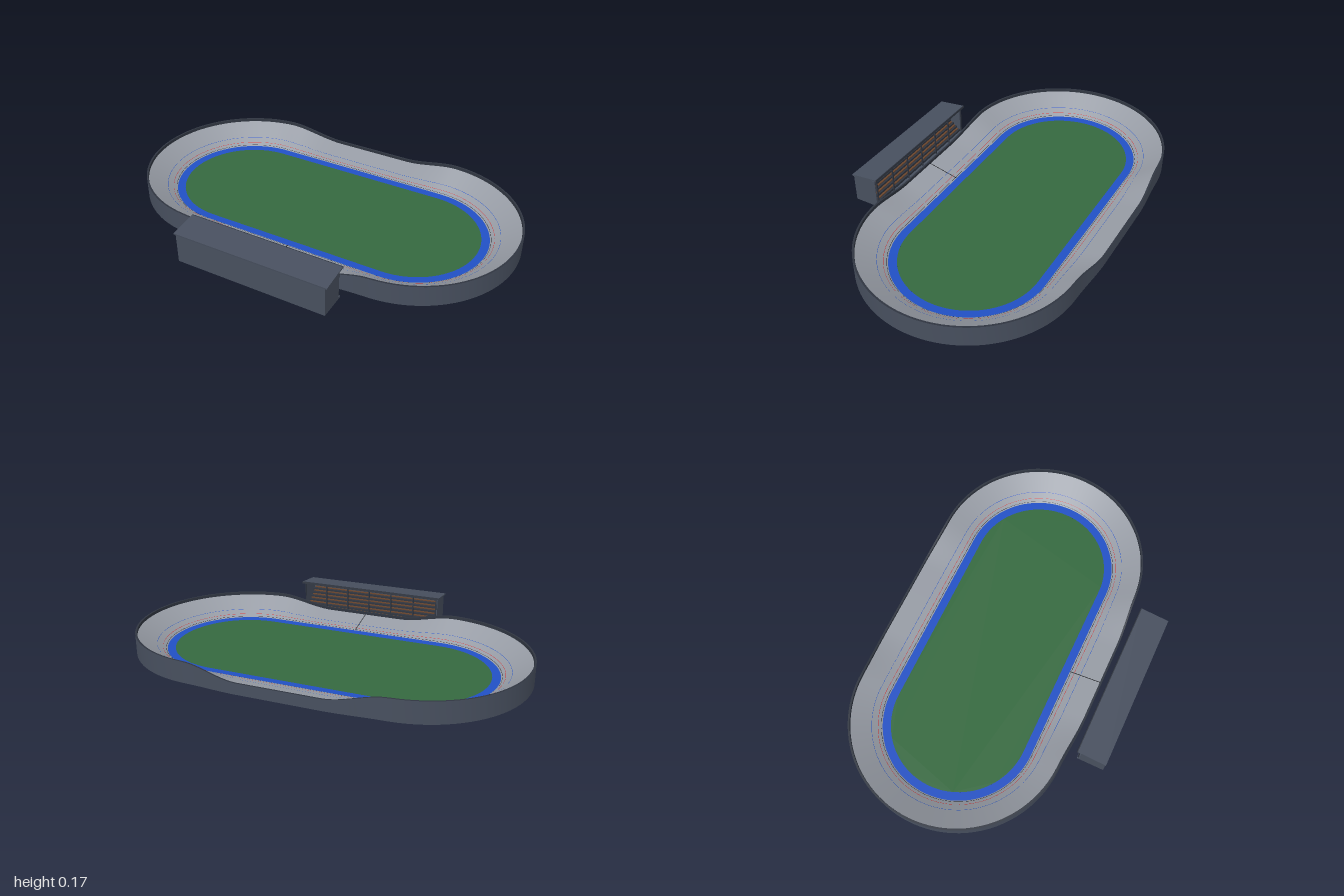
import * as THREE from 'three';

const mat = (name, color) => {
  const m = new THREE.MeshStandardMaterial({ color, side: THREE.DoubleSide });
  m.name = name;
  return m;
};

const L = 0.465;      // half length of the straights
const R_GRASS = 0.34; // turn radius of the infield
const R_TRACK = 0.38; // turn radius of the track's inner edge

// Closed stadium path: origin, outward direction and bank amount (0 straight, 1 turn)
function stations() {
  const list = [];
  const turn = 48, straight = 40;
  const bank = (s) => THREE.MathUtils.smoothstep(s, 0.2, 0.5);
  for (const side of [1, -1]) {
    for (let i = 0; i < turn; i++) {
      const a = -Math.PI / 2 + (Math.PI * i) / turn;
      const arc = Math.min(i, turn - i) * (Math.PI / turn) * R_TRACK;
      list.push({ x: side * L, nx: side * Math.cos(a), nz: side * Math.sin(a), k: bank(L + arc) });
    }
    for (let i = 0; i < straight; i++) {
      const x = side * L * (1 - (2 * i) / straight);
      list.push({ x, nx: 0, nz: side, k: bank(Math.abs(x)) });
    }
  }
  return list;
}
const PATH = stations();

// Strip around the path between two edges, each given as bank => [offset, height]
function ribbon(inner, outer) {
  const pos = [], index = [], n = PATH.length;
  PATH.forEach((p, i) => {
    for (const edge of [inner, outer]) {
      const [d, y] = edge(p.k);
      pos.push(p.x + p.nx * d, y, p.nz * d);
    }
    const a = 2 * i, b = 2 * ((i + 1) % n);
    index.push(a, b, a + 1, b, b + 1, a + 1);
  });
  const g = new THREE.BufferGeometry();
  g.setAttribute('position', new THREE.Float32BufferAttribute(pos, 3));
  g.setIndex(index);
  g.computeVertexNormals();
  return g;
}

// Point on the banked surface, t = 0 at the inner edge and 1 at the wall
const lerp = THREE.MathUtils.lerp;
const surface = (t, lift = 0) => (k) => [
  R_TRACK + t * lerp(0.16, 0.14, k),
  0.004 + t * lerp(0.036, 0.086, k) + lift,
];
const wallTop = (inset) => (k) => [lerp(0.548, 0.53, k) - inset, lerp(0.055, 0.105, k)];
const wallFoot = (k) => [lerp(0.548, 0.53, k), 0];

export function createModel() {
  const model = new THREE.Group();
  const grass = mat('grass green', 0x35693f);
  const blue = mat('band blue', 0x2150c4);
  const boards = mat('track grey', 0x979ca5);
  const steel = mat('slate', 0x474f5e);
  const dark = mat('dark rail', 0x2f3540);
  const red = mat('line red', 0xd02a2a);
  const black = mat('line black', 0x1a1c20);
  const wood = mat('seat brown', 0x6a452c);

  const add = (parent, name, geometry, material, x = 0, y = 0, z = 0) => {
    const m = new THREE.Mesh(geometry, material);
    m.name = name;
    m.position.set(x, y, z);
    parent.add(m);
    return m;
  };

  // Track bowl
  const track = new THREE.Group();
  track.name = 'track';
  track.position.z = -0.0875;
  model.add(track);

  const field = new THREE.Shape();
  field.absarc(L, 0, R_GRASS, -Math.PI / 2, Math.PI / 2);
  field.absarc(-L, 0, R_GRASS, Math.PI / 2, Math.PI * 1.5);
  add(track, 'infield', new THREE.ShapeGeometry(field, 40).rotateX(-Math.PI / 2), grass, 0, 0.002);
  add(track, 'innerBand', ribbon(() => [R_GRASS, 0.002], surface(0)), blue);
  add(track, 'bankedSurface', ribbon(surface(0), surface(1)), boards);

  // Painted lane lines
  const lines = [['blackLine', 0.035, black], ['redLine', 0.14, red], ['blueLine', 0.34, blue]];
  for (const [name, t, m] of lines) {
    add(track, name, ribbon(surface(t, 0.001), surface(t + 0.01, 0.001)), m);
  }
  // Finish line across the front straight
  const finish = add(track, 'finishLine', new THREE.BoxGeometry(0.003, 0.001, 0.16), black, 0, 0.0235, 0.46);
  finish.rotation.x = -Math.atan2(0.036, 0.16);

  // Outer wall with its top rail and inner lip
  add(track, 'outerWall', ribbon(wallTop(0), wallFoot), steel);
  add(track, 'wallRail', ribbon(wallTop(0.009), wallTop(0)), dark);
  add(track, 'wallLip', ribbon(surface(1), wallTop(0.009)), dark);

  // Grandstand, open towards the track
  const stand = new THREE.Group();
  stand.name = 'grandstand';
  model.add(stand);
  const box = (name, w, h, d, m, x, y, z) => add(stand, name, new THREE.BoxGeometry(w, h, d), m, x, y, z);
  box('standBase', 0.77, 0.01, 0.135, steel, 0, 0.005, 0.5655);
  box('backWall', 0.77, 0.15, 0.006, steel, 0, 0.075, 0.632);
  for (const s of [-1, 1]) box('sideWall', 0.006, 0.15, 0.125, steel, s * 0.382, 0.075, 0.5725);

  // Stepped rows with benches
  const rows = 6, depth = 0.019;
  for (let i = 0; i < rows; i++) {
    const h = 0.012 + i * 0.016, z = 0.52 + i * depth;
    box('step', 0.758, h, depth, dark, 0, 0.01 + h / 2, z);
    box('bench', 0.74, 0.005, 0.01, wood, 0, 0.0165 + h, z + 0.002);
  }

  // Roof posts and front beam
  for (let i = 0; i < 7; i++) {
    box('roofPost', 0.006, 0.158, 0.006, dark, -0.378 + i * 0.126, 0.084, 0.503);
  }
  box('frontBeam', 0.77, 0.006, 0.006, dark, 0, 0.159, 0.503);

  // Roof rising towards the track
  const roof = box('roof', 0.79, 0.007, 0.147, steel, 0, 0.16, 0.5635);
  roof.rotation.x = Math.atan2(0.016, 0.146);
  const fascia = box('roofEdge', 0.79, 0.011, 0.004, dark, 0, 0.166, 0.492);
  fascia.rotation.x = roof.rotation.x;

  return model;
}
